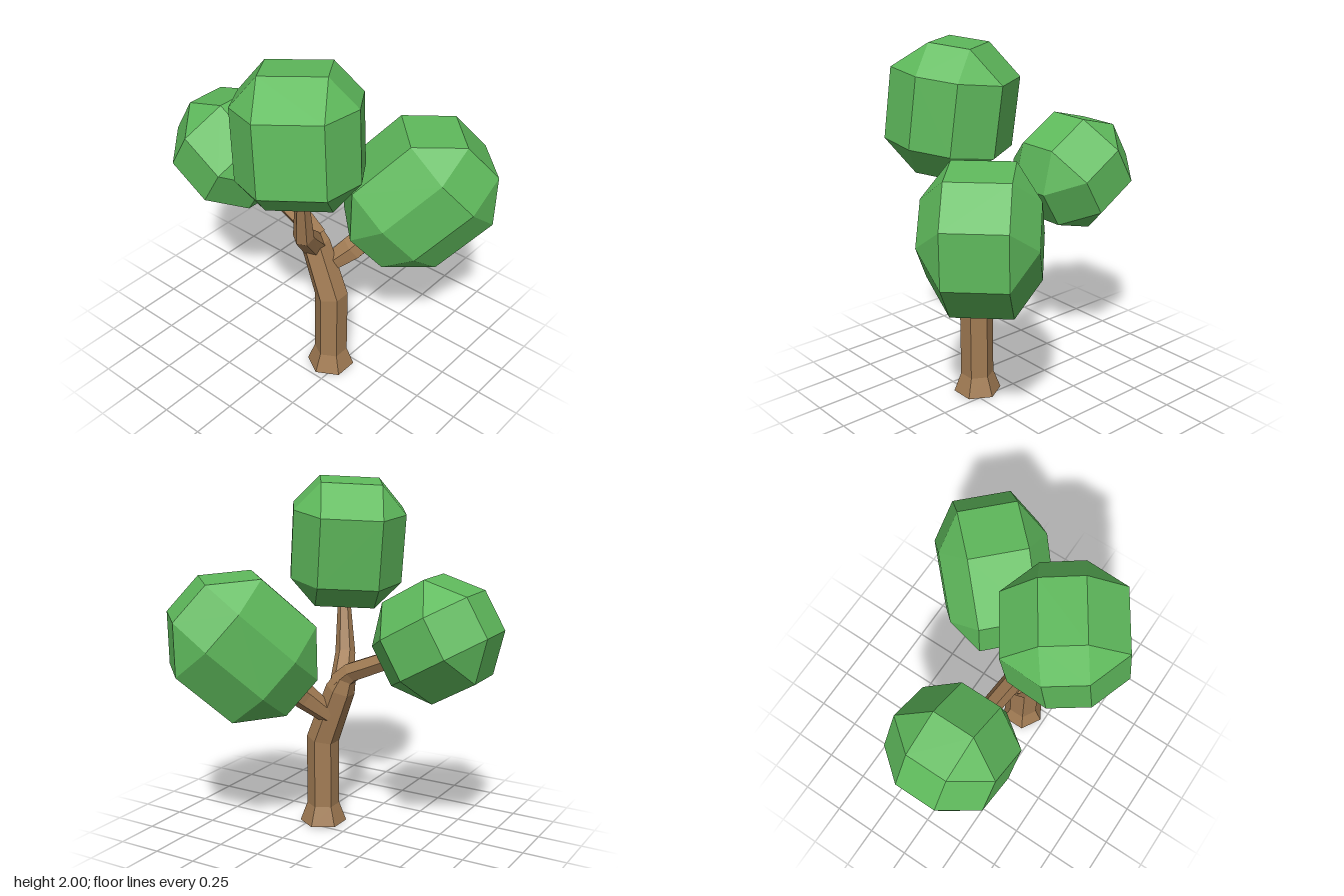
import * as THREE from 'three';
import { ConvexGeometry } from 'three/addons/geometries/ConvexGeometry.js';

const bark = new THREE.MeshStandardMaterial({ color: 0xa27c54, flatShading: true, side: THREE.DoubleSide });
const leaf = new THREE.MeshStandardMaterial({ color: 0x5fba5c, flatShading: true });
const V = (a) => new THREE.Vector3(...a);

// Six-sided limb lofted along stations [x, y, z, radius], open at the root, closed at the tip
function limb(name, stations) {
  const sides = 6, n = stations.length, pos = [], idx = [];
  const pts = stations.map((s) => V(s.slice(0, 3)));
  pts.forEach((p, i) => {
    // Mitre each ring between the neighbouring segments
    const before = p.clone().sub(pts[Math.max(i - 1, 0)]).normalize();
    const after = pts[Math.min(i + 1, n - 1)].clone().sub(p).normalize();
    const t = before.add(after).normalize();
    const w = new THREE.Vector3(0, 0, 1).addScaledVector(t, -t.z).normalize();
    const s = new THREE.Vector3().crossVectors(t, w);
    for (let k = 0; k < sides; k++) {
      const a = (k / sides) * Math.PI * 2, r = stations[i][3];
      const v = p.clone().addScaledVector(w, r * Math.cos(a)).addScaledVector(s, r * Math.sin(a));
      pos.push(v.x, v.y, v.z);
    }
  });
  for (let i = 0; i < n - 1; i++) {
    for (let k = 0; k < sides; k++) {
      const a = i * sides + k, b = i * sides + ((k + 1) % sides);
      idx.push(a, b, b + sides, a, b + sides, a + sides);
    }
  }
  const tip = (n - 1) * sides;
  for (let k = 1; k < sides - 1; k++) idx.push(tip, tip + k, tip + k + 1);
  const g = new THREE.BufferGeometry();
  g.setAttribute('position', new THREE.Float32BufferAttribute(pos, 3));
  g.setIndex(idx);
  g.computeVertexNormals();
  const mesh = new THREE.Mesh(g, bark);
  mesh.name = name;
  return mesh;
}

// Chamfered block of leaves: half sizes, half sizes of the flat faces,
// and its own up axis and side axis
function foliage(name, center, half, flat, up, side) {
  const pts = [];
  for (let axis = 0; axis < 3; axis++) {
    for (const sx of [-1, 1]) for (const sy of [-1, 1]) for (const sz of [-1, 1]) {
      const p = [...flat];
      p[axis] = half[axis];
      pts.push(new THREE.Vector3(p[0] * sx, p[1] * sy, p[2] * sz));
    }
  }
  const y = V(up).normalize();
  const x = V(side).addScaledVector(y, -V(side).dot(y)).normalize();
  const z = new THREE.Vector3().crossVectors(x, y);
  const mesh = new THREE.Mesh(new ConvexGeometry(pts), leaf);
  mesh.quaternion.setFromRotationMatrix(new THREE.Matrix4().makeBasis(x, y, z));
  mesh.position.set(...center);
  mesh.name = name;
  return mesh;
}

export function createModel() {
  const tree = new THREE.Group();
  tree.name = 'tree';

  // Trunk with flared foot and a lean above the bend
  tree.add(limb('trunk', [
    [0.19, 0, 0.095, 0.135], [0.19, 0.11, 0.095, 0.094],
    [0.19, 0.51, 0.095, 0.094], [0.075, 0.82, 0.1, 0.085], [0.04, 0.9, 0.1, 0.06],
  ]));

  // Branches
  tree.add(limb('rightBranch', [
    [0.08, 0.86, 0.1, 0.065], [0.0, 0.93, 0.1, 0.06], [-0.4, 1.1, 0.095, 0.052],
  ]));
  tree.add(limb('frontBranch', [
    [0.07, 0.8, 0.1, 0.075], [0.145, 0.99, 0.275, 0.058], [0.195, 1.32, 0.345, 0.034],
  ]));
  tree.add(limb('backBranch', [
    [0.13, 0.67, 0.06, 0.055], [0.235, 0.785, -0.03, 0.075], [0.33, 0.92, -0.17, 0.072],
  ]));

  // Leaf clusters
  tree.add(foliage('rightFoliage', [-0.53, 1.185, 0.09],
    [0.3, 0.315, 0.31], [0.118, 0.14, 0.12], [-0.863, 0.505, 0], [0.505, 0.863, 0]));
  tree.add(foliage('topFoliage', [0.158, 1.628, 0.317],
    [0.315, 0.355, 0.312], [0.17, 0.195, 0.115], [-0.105, 1, -0.065], [0.84, 0, -0.55]));
  tree.add(foliage('backFoliage', [0.462, 1.11, -0.306],
    [0.3, 0.405, 0.345], [0.165, 0.2, 0.13], [0.52, 0.68, -0.52], [0.707, 0, 0.707]));
  return tree;
}
